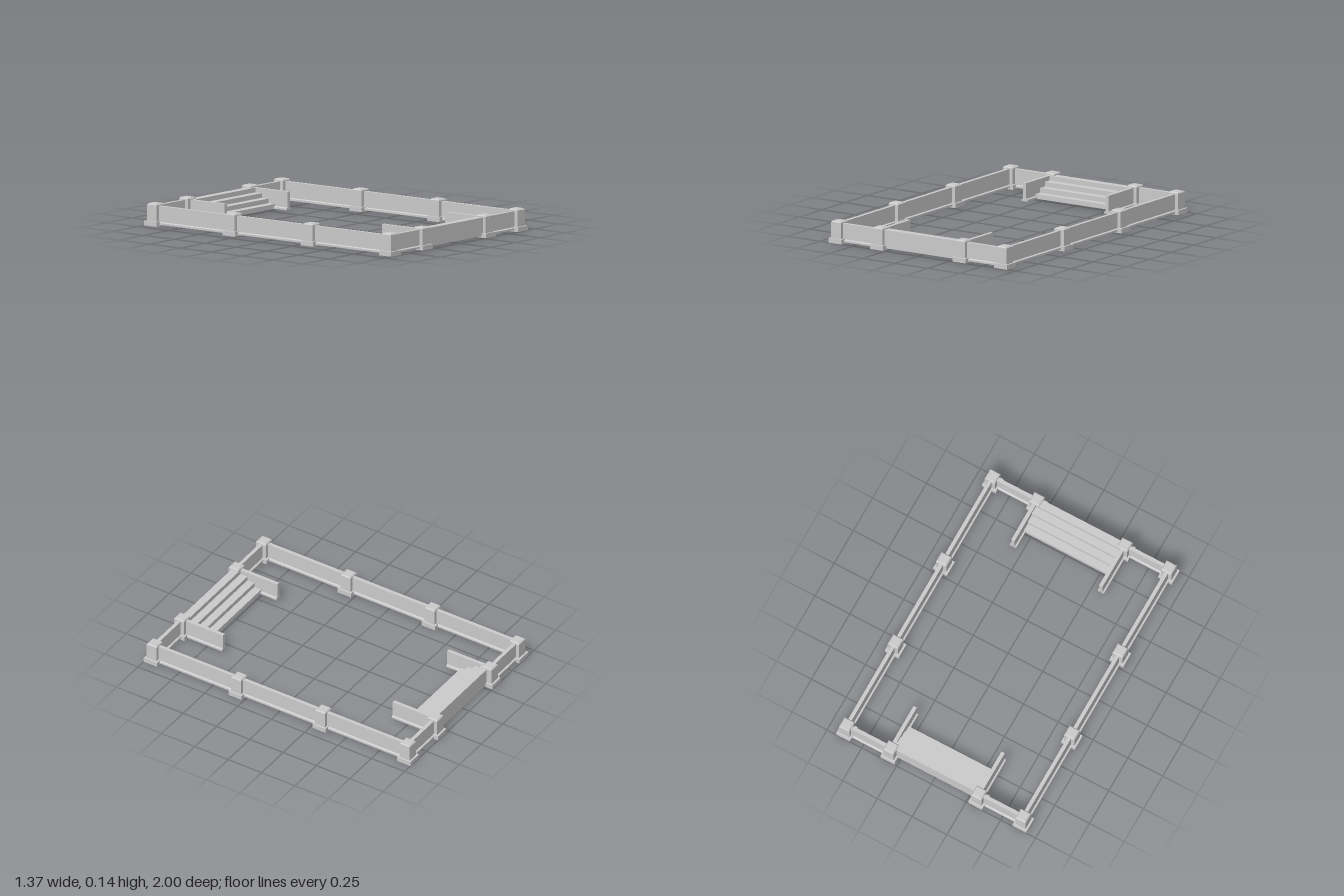
import * as THREE from 'three';

const material = new THREE.MeshStandardMaterial({ color: 0xcccccc, flatShading: true, side: THREE.DoubleSide });

const X_OUT = 0.634, X_IN = 0.316, Z_END = 0.95, Z_MID = 0.315;

// Square pillar with a wide foot and a bevelled cap, open underneath
function postGeometry() {
  const profile = [[0.05, 0], [0.05, 0.03], [0.037, 0.03], [0.037, 0.134], [0.03, 0.142], [0, 0.142]]
    .map(([r, y]) => new THREE.Vector2(r * Math.SQRT2, y));
  return new THREE.LatheGeometry(profile, 4).rotateY(Math.PI / 4);
}

// Thin wall on a wider plinth, running along z from 0 to length
function wallGeometry(length) {
  const half = [[0.023, 0.01], [0.023, 0.022], [0.012, 0.027], [0.012, 0.128]];
  const mirrored = half.map(([x, y]) => [-x, y]).reverse();
  const shape = new THREE.Shape([...half, ...mirrored].map(([x, y]) => new THREE.Vector2(x, y)));
  return new THREE.ExtrudeGeometry(shape, { depth: length, bevelEnabled: false });
}

// Hollow flight of steps rising towards +z, closed by the outer panel
function stairGeometry(width, depth, bottom, top, count) {
  const outline = [[0, bottom]];
  for (let i = 0; i < count; i++) {
    const y = bottom + (top - bottom) * (i + 1) / count;
    outline.push([depth * i / count, y], [depth * (i + 1) / count, y]);
  }
  outline.push([depth, bottom]);
  const positions = [];
  for (let i = 0; i < outline.length - 1; i++) {
    const [za, ya] = outline[i], [zb, yb] = outline[i + 1];
    const l = -width / 2, r = width / 2;
    positions.push(l, ya, za, r, ya, za, r, yb, zb, l, ya, za, r, yb, zb, l, yb, zb);
  }
  // Reverse each triangle so the faces look outwards
  for (let i = 0; i < positions.length; i += 9) {
    const second = positions.slice(i + 3, i + 6);
    for (let k = 0; k < 3; k++) {
      positions[i + 3 + k] = positions[i + 6 + k];
      positions[i + 6 + k] = second[k];
    }
  }
  const geometry = new THREE.BufferGeometry();
  geometry.setAttribute('position', new THREE.Float32BufferAttribute(positions, 3));
  geometry.computeVertexNormals();
  return geometry;
}

export function createModel() {
  const model = new THREE.Group();
  model.name = 'walledCourtyard';

  const add = (name, geometry, x, z, turn = 0) => {
    const mesh = new THREE.Mesh(geometry, material);
    mesh.name = name;
    mesh.position.set(x, 0, z);
    mesh.rotation.y = turn;
    model.add(mesh);
  };

  const post = postGeometry();
  const sideWall = wallGeometry(2 * Z_END);
  const endWall = wallGeometry(X_OUT - X_IN);
  const stairWall = wallGeometry(Z_END - 0.637);
  const stairs = stairGeometry(0.62, 0.208, 0.01, 0.128, 4);

  for (const sx of [-1, 1]) {
    add('sideWall', sideWall, sx * X_OUT, -Z_END);
    for (const sz of [-1, 1]) {
      add('cornerPost', post, sx * X_OUT, sz * Z_END);
      add('sidePost', post, sx * X_OUT, sz * Z_MID);
      add('stairPost', post, sx * X_IN, sz * Z_END);
      add('endWall', endWall, sx * X_IN, sz * Z_END, sx * Math.PI / 2);
      add('stairWall', stairWall, sx * X_IN, sz * Z_END, sz > 0 ? Math.PI : 0);
    }
  }

  // Stairs climb outwards at both ends
  add('frontStairs', stairs, 0, 0.757);
  add('backStairs', stairs, 0, -0.742, Math.PI);
  return model;
}
